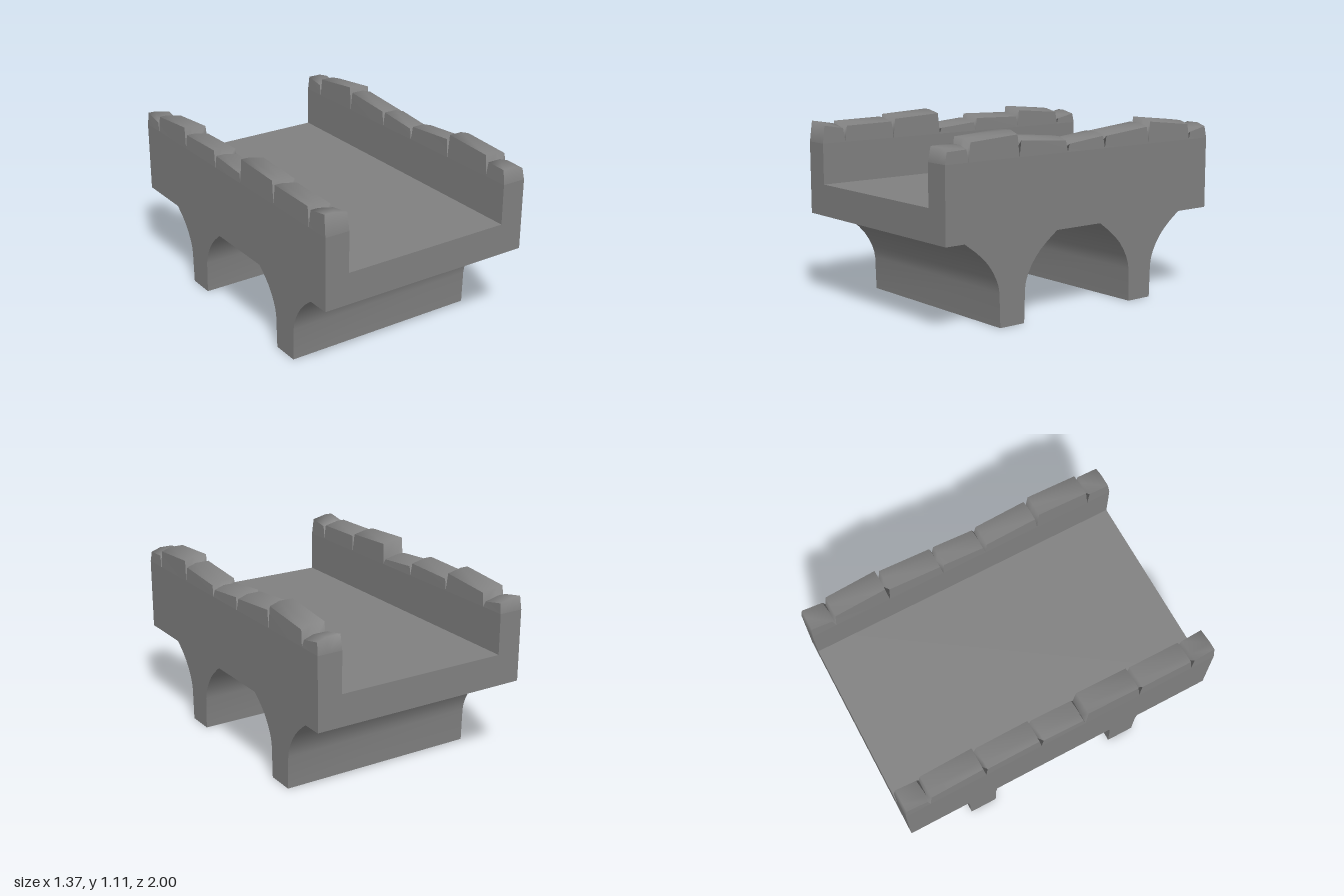
import * as THREE from 'three';
import { toCreasedNormals } from 'three/addons/utils/BufferGeometryUtils.js';

const stone = new THREE.MeshStandardMaterial({ color: 0x808080 });
stone.name = 'grey stone';

const DECK_BOTTOM = 0.52, DECK_TOP = 0.71, NOTCH = 0.955;
const INNER = 0.532, OUTER = 0.683;

// Joints between the coping stones, from front to back
const joints = [1, 0.845, 0.497, 0.145, -0.14, -0.495, -0.845, -1];
// Height of each coping stone at its front and back end
const leftTops = [[1.04, 1.045], [1.08, 1.1], [1.065, 1.04], [1.02, 1.047], [1.045, 1.075], [1.104, 1.068], [1.02, 1.045]];
const rightTops = [[1.08, 1.058], [1.07, 1.075], [1.09, 1.105], [1.01, 1.03], [1.055, 1.045], [1.085, 1.055], [1.01, 1.035]];

function add(parent, name, geometry) {
  const mesh = new THREE.Mesh(geometry, stone);
  mesh.name = name;
  parent.add(mesh);
  return mesh;
}

function box(parent, name, w, h, d, x, y, z) {
  add(parent, name, new THREE.BoxGeometry(w, h, d)).position.set(x, y, z);
}

// Skin over open cross-sections that run from -x to +x, ordered front to back
function loft(sections) {
  const n = sections[0].length, index = [];
  for (let i = 0; i < sections.length - 1; i++) {
    for (let j = 0; j < n - 1; j++) {
      const a = i * n + j, b = a + 1, c = b + n, d = a + n;
      index.push(a, b, c, a, c, d);
    }
  }
  const geometry = new THREE.BufferGeometry();
  geometry.setAttribute('position', new THREE.Float32BufferAttribute(sections.flat(2), 3));
  geometry.setIndex(index);
  geometry.computeVertexNormals();
  return geometry;
}

// Parapet: solid lower wall with tilted, notched stones along the top
function parapet(name, side, tops) {
  const group = new THREE.Group();
  group.name = name;
  const x0 = side > 0 ? INNER : -OUTER, x1 = side > 0 ? OUTER : -INNER;
  box(group, 'parapetWall', x1 - x0, NOTCH - DECK_TOP, 2, (x0 + x1) / 2, (NOTCH + DECK_TOP) / 2, 0);

  const topRows = [], lowRows = [], highRows = [];
  const section = (z, y) => {
    const raised = y > NOTCH ? 1 : 0;
    const a = x0 + 0.004 * raised, b = x1 - 0.004 * raised;
    const mid = side > 0 ? 0.62 : -0.63;
    const drop = 0.02 * raised;
    topRows.push([[a, y, z], [mid, y, z], [b, y - drop, z]]);
    lowRows.push([[x0, NOTCH, z], [a, y, z]]);
    highRows.push([[b, y - drop, z], [x1, NOTCH, z]]);
  };
  tops.forEach(([front, back], i) => {
    section(joints[i], NOTCH);
    section(joints[i] - 0.015, front);
    section(joints[i + 1] + 0.012, back);
  });
  section(-1, NOTCH);
  add(group, 'copingTop', loft(topRows));
  add(group, 'copingSide', loft(lowRows));
  add(group, 'copingSide', loft(highRows));
  return group;
}

// Pier flaring into half arches on both sides, extruded across the bridge
function pier(z) {
  const flare = [[0.086, 0], [0.092, 0.2], [0.099, 0.24], [0.114, 0.28], [0.138, 0.325],
    [0.17, 0.37], [0.208, 0.41], [0.258, 0.452], [0.352, DECK_BOTTOM]];
  const outline = [...flare, ...flare.map(([w, y]) => [-w, y]).reverse()];
  const shape = new THREE.Shape(outline.map(([w, y]) => new THREE.Vector2(w, y)));
  const geometry = new THREE.ExtrudeGeometry(shape, { depth: 1.244, bevelEnabled: false });
  geometry.translate(0, 0, -0.622).rotateY(Math.PI / 2).translate(0, 0, z);
  return toCreasedNormals(geometry, 0.6);
}

export function createModel() {
  const model = new THREE.Group();
  model.name = 'stoneBridge';
  box(model, 'deck', OUTER * 2, DECK_TOP - DECK_BOTTOM, 2, 0, (DECK_TOP + DECK_BOTTOM) / 2, 0);
  model.add(parapet('leftParapet', 1, leftTops), parapet('rightParapet', -1, rightTops));
  add(model, 'frontPier', pier(0.498));
  add(model, 'backPier', pier(-0.498));
  return model;
}
